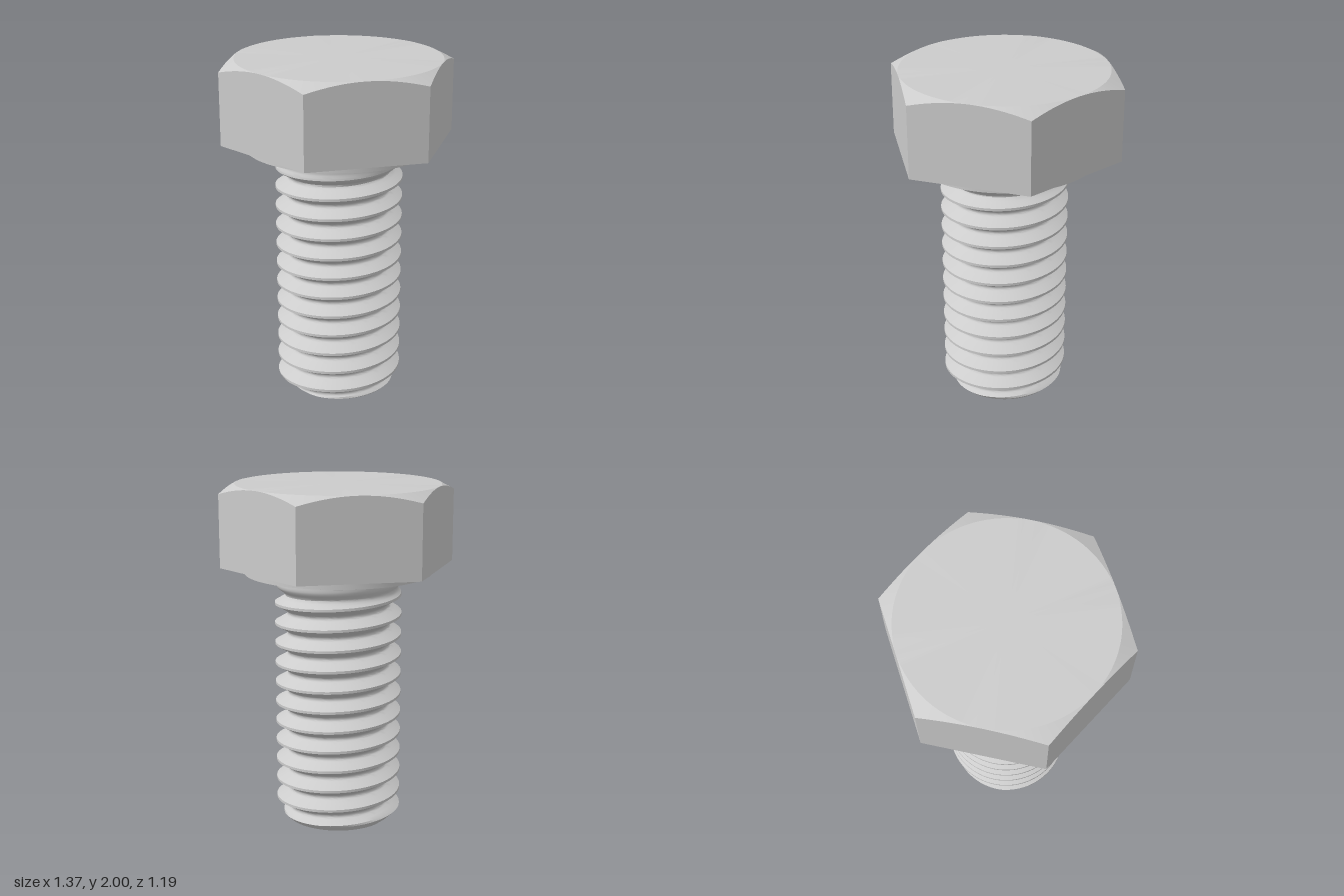
import * as THREE from 'three';
import { toCreasedNormals } from 'three/addons/utils/BufferGeometryUtils.js';

const SEGMENTS = 96;
const material = new THREE.MeshStandardMaterial({ color: 0xcccccc });

// Skins rows of points stacked around the y axis; point(angle, row) returns [radius, y].
function skin(name, rows, crease, point) {
  const corners = [];
  const at = (i, j) => {
    const a = (i / SEGMENTS) * Math.PI * 2;
    const [r, y] = point(a, j);
    return new THREE.Vector3(r * Math.cos(a), y, -r * Math.sin(a));
  };
  const addTriangle = (a, b, c) => {
    const area = b.clone().sub(a).cross(c.clone().sub(a)).length();
    if (area > 1e-9) for (const p of [a, b, c]) corners.push(p.x, p.y, p.z);
  };
  for (let i = 0; i < SEGMENTS; i++) {
    for (let j = 0; j < rows - 1; j++) {
      const a = at(i, j), b = at(i + 1, j), c = at(i + 1, j + 1), d = at(i, j + 1);
      addTriangle(a, b, d);
      addTriangle(b, c, d);
    }
  }
  const geometry = new THREE.BufferGeometry();
  geometry.setAttribute('position', new THREE.Float32BufferAttribute(corners, 3));
  const mesh = new THREE.Mesh(toCreasedNormals(geometry, crease), material);
  mesh.name = name;
  return mesh;
}

// Hexagonal head, its top corners cut by a shallow cone
function createHead() {
  const flat = 0.593, bottom = 1.53, top = 2;
  return skin('hexHead', 5, 0.3, (a, j) => {
    const sector = Math.PI / 3;
    const fromFlat = (a % sector) - sector / 2;
    const r = flat / Math.cos(fromFlat);
    const rim = top - 0.54 * (r - flat);
    return [[0, bottom], [r, bottom], [r, rim], [0.59, top], [0, top]][j];
  });
}

// Washer face under the head, with the fillet that runs into the shank
function createCollar() {
  const profile = [];
  for (let k = 0; k <= 8; k++) {
    const t = (k / 8) * Math.PI / 2;
    profile.push([0.4 - 0.04 * Math.cos(t), 1.45 + 0.04 * Math.sin(t)]);
  }
  profile.push([0.545, 1.49], [0.545, 1.53], [0, 1.53]);
  return skin('washerFace', profile.length, 0.5, (a, j) => profile[j]);
}

// Shank with a right-handed helical thread, chamfered tip and run-out near the head
function createShank() {
  const pitch = 0.119, crestAtZero = 1.31, top = 1.45;
  // One pitch of the thread: [fraction of pitch, radius]
  const profile = [
    [0, 0.37], [0.0625, 0.37], [0.16, 0.35], [0.26, 0.329], [0.36, 0.308],
    [0.4, 0.301], [0.45, 0.297], [0.55, 0.297], [0.6, 0.301],
    [0.64, 0.308], [0.74, 0.329], [0.84, 0.35], [0.9375, 0.37], [1, 0.37],
  ];
  const radiusAt = (a, y) => {
    const turns = (y - crestAtZero) / pitch - a / (Math.PI * 2);
    const u = turns - Math.floor(turns);
    let k = 0;
    while (k < profile.length - 2 && profile[k + 1][0] < u) k++;
    const [u0, r0] = profile[k], [u1, r1] = profile[k + 1];
    const thread = r0 + (r1 - r0) * (u - u0) / (u1 - u0);
    const fade = THREE.MathUtils.smoothstep(y, 1.33, 1.44);
    return Math.min(THREE.MathUtils.lerp(thread, 0.36, fade), 0.31 + y);
  };
  // Rows follow the helix and are clamped to the ends of the shank
  const perTurn = profile.length - 1;
  const rows = perTurn * 15 + 1;
  return skin('threadedShank', rows + 1, 0.6, (a, j) => {
    if (j === 0) return [0, 0];
    const row = j - 1;
    const turn = Math.floor(row / perTurn) - 13 + profile[row % perTurn][0];
    const y = crestAtZero + pitch * (turn + a / (Math.PI * 2));
    const clamped = THREE.MathUtils.clamp(y, 0, top);
    return [radiusAt(a, clamped), clamped];
  });
}

export function createModel() {
  const bolt = new THREE.Group();
  bolt.name = 'hexBolt';
  bolt.add(createHead(), createCollar(), createShank());
  return bolt;
}
